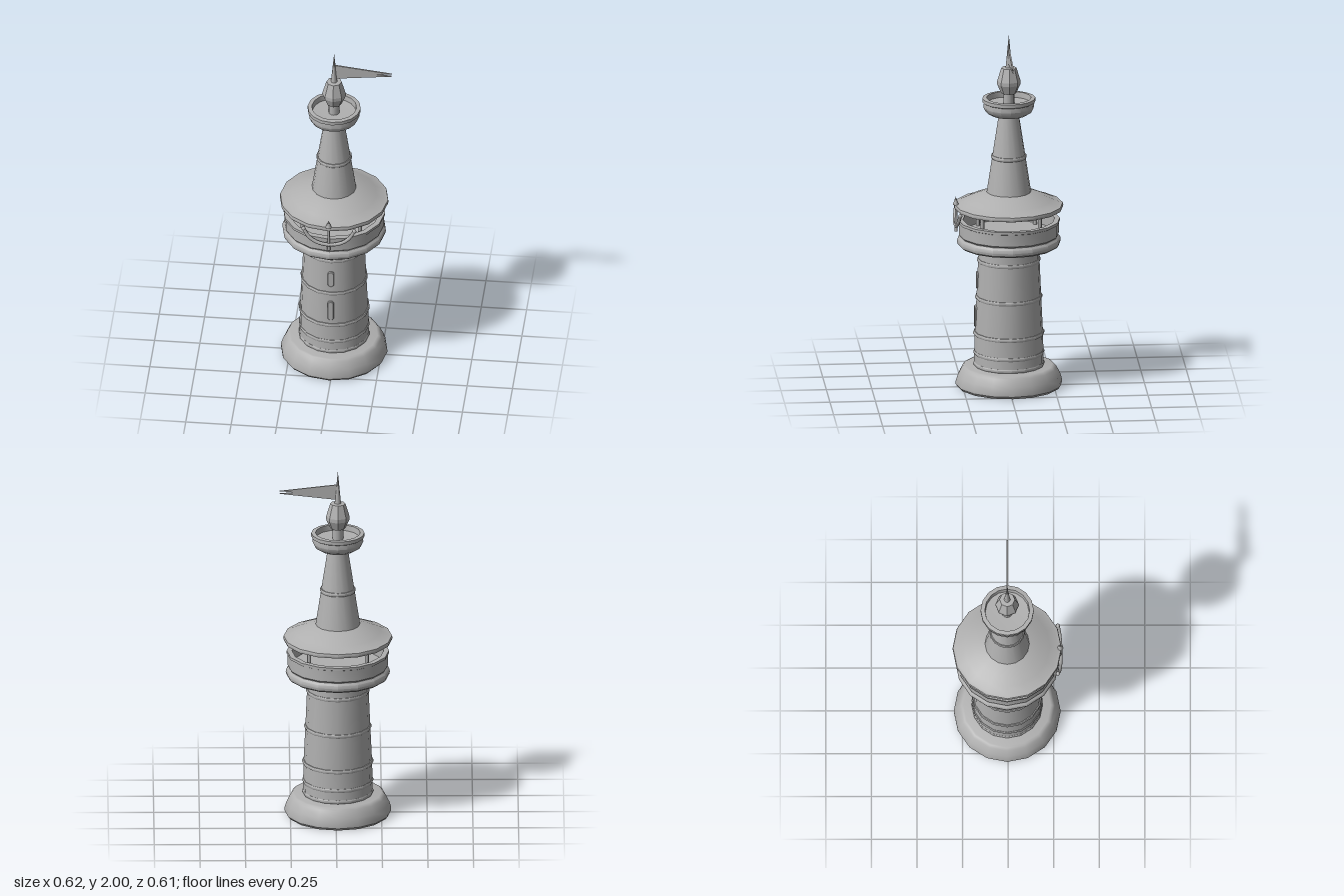
import * as THREE from 'three';
import { toCreasedNormals } from 'three/addons/utils/BufferGeometryUtils.js';

const stone = new THREE.MeshStandardMaterial({ color: 0xb0b0b0 });
stone.name = 'plain grey';

export function createModel() {
  const root = new THREE.Group();
  root.name = 'tower';
  const tower = new THREE.Group();
  tower.name = 'towerParts';
  tower.position.set(-0.01, 0, -0.005);
  root.add(tower);

  function add(name, geometry, x = 0, y = 0, z = 0, parent = tower) {
    const mesh = new THREE.Mesh(geometry, stone);
    mesh.name = name;
    mesh.position.set(x, y, z);
    parent.add(mesh);
    return mesh;
  }
  // Turned part from [radius, height] pairs, listed bottom to top
  function turned(name, profile, sides = 16, crease = 0.6) {
    const pts = profile.map(([r, y]) => new THREE.Vector2(r, y));
    return add(name, toCreasedNormals(new THREE.LatheGeometry(pts, sides), crease));
  }
  // Thin raised band around a shaft
  function band(name, y, r, h = 0.013) {
    turned(name, [[r - 0.02, y - h], [r - 0.003, y - h], [r, y - h / 2], [r, y + h / 2], [r - 0.003, y + h], [r - 0.02, y + h]]);
  }

  // Foot and main shaft
  turned('base', [[0, 0], [0.282, 0], [0.293, 0.014], [0.293, 0.03], [0.282, 0.065],
    [0.262, 0.105], [0.25, 0.117], [0.24, 0.12], [0, 0.12]]);
  turned('shaft', [[0.192, 0.115], [0.188, 0.3], [0.178, 0.51], [0.169, 0.72], [0.165, 0.81]]);
  [[0.13, 0.195], [0.195, 0.195], [0.305, 0.196], [0.51, 0.185], [0.72, 0.175]]
    .forEach(([y, r]) => band('shaftBand', y, r, 0.01));

  // Narrow rounded windows on the front
  [[0.4, 0.125, 0.18], [0.605, 0.1, 0.17]].forEach(([y, h, z]) => {
    const w = 0.036;
    const pane = new THREE.Shape();
    pane.absarc(0, h / 2 - w / 2, w / 2 - 0.004, 0, Math.PI);
    pane.absarc(0, -h / 2 + w / 2, w / 2 - 0.004, Math.PI, Math.PI * 2);
    const geometry = new THREE.ExtrudeGeometry(pane, {
      depth: 0.016, bevelSize: 0.004, bevelThickness: 0.004, bevelSegments: 1, curveSegments: 6,
    });
    add('window', geometry, 0, y, z - 0.01);
  });

  // Gallery with a hollow parapet
  turned('galleryLip', [[0, 0.802], [0.27, 0.802], [0.282, 0.812], [0.286, 0.828], [0.282, 0.845], [0.27, 0.857], [0.2, 0.86]]);
  turned('parapet', [[0.262, 0.85], [0.275, 0.866], [0.275, 0.932], [0.281, 0.935], [0.281, 0.95],
    [0.252, 0.95], [0.252, 0.87], [0, 0.87]]);

  // Four posts and the lamp under the roof
  for (const sx of [-1, 1]) for (const sz of [-1, 1])
    add('post', new THREE.CylinderGeometry(0.011, 0.011, 0.16, 8), sx * 0.158, 0.945, sz * 0.158);
  add('lamp', new THREE.SphereGeometry(0.046, 16, 10), 0, 0.997, 0);

  // Wide roof, upper spire and its band
  turned('roof', [[0, 1.018], [0.285, 1.01], [0.297, 1.014], [0.3, 1.025], [0.297, 1.037], [0.28, 1.04],
    [0.235, 1.062], [0.185, 1.084], [0.13, 1.105], [0.1, 1.112]]);
  turned('spire', [[0.123, 1.1], [0.053, 1.56]]);
  band('spireBand', 1.308, 0.098, 0.01);

  // Shallow hollow cup
  turned('cup', [[0, 1.538], [0.065, 1.538], [0.1, 1.547], [0.128, 1.565], [0.14, 1.59], [0.137, 1.615],
    [0.146, 1.62], [0.146, 1.64], [0.123, 1.642], [0.12, 1.61], [0, 1.605]]);

  // Faceted finial and spike
  add('finialStem', new THREE.CylinderGeometry(0.03, 0.03, 0.09, 12), 0, 1.64, 0);
  turned('finial', [[0, 1.668], [0.042, 1.668], [0.064, 1.718], [0.064, 1.738], [0.042, 1.812], [0, 1.815]], 8, 0.2);
  add('spike', new THREE.ConeGeometry(0.018, 0.19, 8), 0, 1.905, 0);

  // Swallow-tailed pennant
  const cloth = new THREE.Shape([[0.008, 1.835], [0.32, 1.871], [0.235, 1.878], [0.32, 1.886], [0.008, 1.922]]
    .map(([x, y]) => new THREE.Vector2(x, y)));
  add('pennant', new THREE.ExtrudeGeometry(cloth, { depth: 0.008, bevelEnabled: false }), 0, 0, -0.004);

  // Bow and arrow ornament on the front
  const ornament = new THREE.Group();
  ornament.name = 'bowOrnament';
  tower.add(ornament);
  const path = new THREE.CatmullRomCurve3([[-0.14, 1.01, 0.278], [-0.108, 0.962, 0.287], [-0.06, 0.932, 0.292],
    [0, 0.922, 0.294], [0.06, 0.932, 0.292], [0.108, 0.962, 0.287], [0.14, 1.01, 0.278]]
    .map((p) => new THREE.Vector3(...p)));
  add('bow', new THREE.TubeGeometry(path, 20, 0.01, 6), 0, 0, 0, ornament);
  for (const s of [-1, 1])
    add('bowTip', new THREE.SphereGeometry(0.012, 8, 6), s * 0.14, 1.01, 0.278, ornament);
  add('arrowShaft', new THREE.CylinderGeometry(0.006, 0.009, 0.16, 8), 0, 0.965, 0.29, ornament);
  add('arrowHead', new THREE.ConeGeometry(0.017, 0.045, 8), 0, 1.06, 0.292, ornament);

  return root;
}
